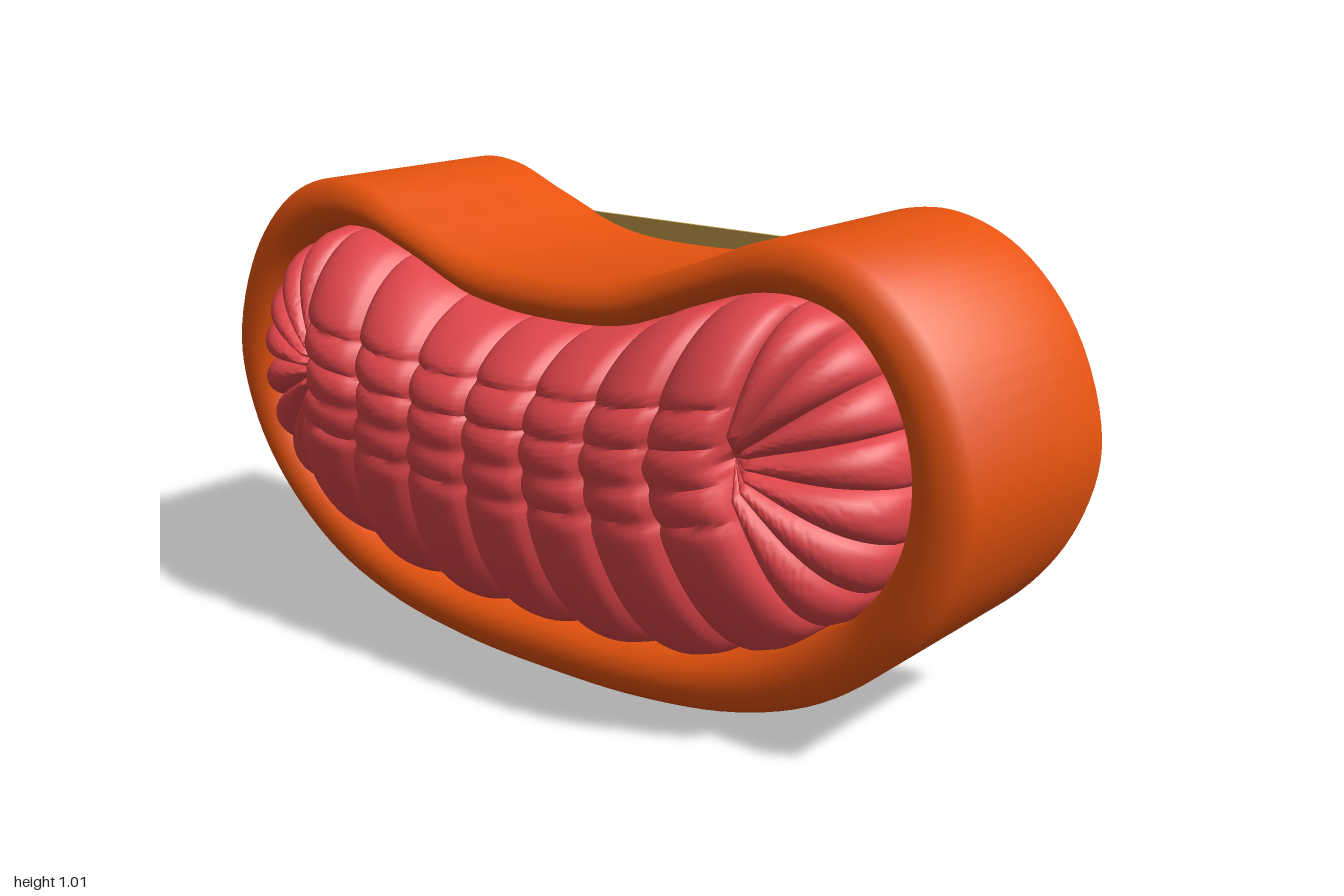
import * as THREE from 'three';
import { toCreasedNormals, mergeVertices } from 'three/addons/utils/BufferGeometryUtils.js';

const mat = (name, color, extra = {}) => new THREE.MeshStandardMaterial({ name, color, ...extra });

// Right half of each outline, clockwise from the top centre
const OUTER = [[0, 0.87], [0.2, 0.885], [0.4, 0.955], [0.54, 1.008], [0.66, 1.013], [0.8, 0.955], [0.93, 0.81],
  [1, 0.59], [0.965, 0.42], [0.87, 0.27], [0.7, 0.13], [0.5, 0.05], [0.25, 0.01], [0, 0.002]];
const INNER = [[0, 0.78], [0.2, 0.797], [0.38, 0.865], [0.53, 0.908], [0.64, 0.905], [0.74, 0.86], [0.83, 0.74],
  [0.865, 0.585], [0.84, 0.44], [0.76, 0.32], [0.6, 0.21], [0.42, 0.145], [0.2, 0.117], [0, 0.115]];

// Mirror a half outline and sample it as a smooth closed loop
function outline(half, n) {
  const left = half.slice(1, -1).reverse().map(([x, y]) => [-x, y]);
  const pts = [...half, ...left].map(([x, y]) => new THREE.Vector3(x, y, 0));
  const curve = new THREE.CatmullRomCurve3(pts, true);
  return Array.from({ length: n }, (_, i) => curve.getPoint(i / n));
}

// Surface closed along i, open along j
function loft(ni, nj, point, crease) {
  const pos = [], index = [];
  for (let i = 0; i < ni; i++) {
    for (let j = 0; j < nj; j++) {
      pos.push(...point(i, j));
      if (j === nj - 1) continue;
      const a = i * nj + j, c = ((i + 1) % ni) * nj + j;
      index.push(a, a + 1, c, c, a + 1, c + 1);
    }
  }
  const g = new THREE.BufferGeometry();
  g.setAttribute('position', new THREE.Float32BufferAttribute(pos, 3));
  g.setIndex(index);
  return toCreasedNormals(mergeVertices(g), crease);
}

// Kidney-shaped rim: [blend from outer to inner outline, z]
function rimGeometry() {
  const n = 156, outer = outline(OUTER, n), inner = outline(INNER, n);
  const profile = [[0, -0.355], [0, 0.148], [0.2, 0.166], [0.42, 0.18], [0.62, 0.18], [0.85, 0.166], [1, 0.135],
    [1, -0.29], [0.8, -0.33], [0.5, -0.35], [0, -0.355]];
  return loft(n, profile.length, (i, j) => {
    const [t, z] = profile[j], p = outer[i].clone().lerp(inner[i], t);
    return [p.x, p.y, z];
  }, 1.2);
}

// Distance from a point to the loop along a direction
function reach(loop, x, y, dx, dy) {
  let best = 0;
  loop.forEach((a, i) => {
    const b = loop[(i + 1) % loop.length], ex = b.x - a.x, ey = b.y - a.y;
    const den = dx * ey - dy * ex;
    if (Math.abs(den) < 1e-9) return;
    const t = ((a.x - x) * ey - (a.y - y) * ex) / den;
    const s = ((a.x - x) * dy - (a.y - y) * dx) / den;
    if (t > 0 && s >= 0 && s <= 1 && (best === 0 || t < best)) best = t;
  });
  return best;
}

// Tufted cushion: pleats run from a curved spine to the rim, with fans at both ends
function cushionGeometry() {
  const loop = outline(INNER, 208), end = 0.55, pleats = 7, sub = 12, rows = 40;
  const sections = [
    { fan: false, x: [-end, end], angle: [100, 80] },
    { fan: true, x: [end, end], angle: [80, -70] },
    { fan: false, x: [end, -end], angle: [-70, -110] },
    { fan: true, x: [-end, -end], angle: [-110, -260] },
  ];
  const rays = [];
  for (const s of sections) {
    for (let k = 0; k <= pleats * sub; k++) {
      const t = k / (pleats * sub);
      const x = THREE.MathUtils.lerp(...s.x, t), y = 0.555 + 0.06 * (x / end) ** 2;
      const a = THREE.MathUtils.degToRad(THREE.MathUtils.lerp(...s.angle, t));
      const dx = Math.cos(a), dy = Math.sin(a);
      const puff = Math.sqrt(Math.abs(Math.sin(Math.PI * (k % sub) / sub)));
      const len = reach(loop, x, y, dx, dy) * (0.945 + 0.05 * puff);
      rays.push({ fan: s.fan, x, y, dx, dy, puff, len });
    }
  }
  return loft(rays.length, rows + 2, (i, j) => {
    const r = rays[i], v = j === 0 ? 1 : 1 - (j - 1) / rows, d = v * r.len;
    let z;
    if (j === 0) z = -0.1;
    else if (r.fan) {
      z = 0.1 + 0.2 * Math.sqrt(1 - v ** 3) - 0.045 * (1 - r.puff) * Math.min(1, v * 4)
        - 0.06 * Math.max(0, 1 - v * 5);
    } else {
      z = 0.13 + 0.23 * (1 - v * v) ** 0.6 - 0.04 * (1 - r.puff);
      const quilt = Math.sqrt(Math.abs(Math.cos(Math.PI * d / 0.075)));
      if (d < 0.15) z -= 0.018 * (1 - quilt);
    }
    return [r.x + r.dx * d, r.y + r.dy * d, z];
  }, 0.9);
}

// Backing board: rim opening with a straight top strip and a clipped lower corner
function backGeometry() {
  const pts = outline(INNER, 208)
    .filter((p) => !(Math.abs(p.x) < 0.32 && p.y > 0.6))
    .filter((p) => !(p.x > -0.68 && p.x < -0.17 && p.y < 0.4));
  const shape = new THREE.Shape();
  shape.moveTo(-0.3, 0.915);
  shape.lineTo(0.3, 0.915);
  pts.forEach((p) => shape.lineTo(p.x, p.y));
  shape.closePath();
  return new THREE.ExtrudeGeometry(shape, { depth: 0.008, bevelEnabled: false, curveSegments: 1 });
}

export function createModel() {
  const group = new THREE.Group();
  group.name = 'tuftedBed';
  const add = (name, geometry, material) => {
    const mesh = new THREE.Mesh(geometry, material);
    mesh.name = name;
    group.add(mesh);
    return mesh;
  };
  add('rim', rimGeometry(), mat('orange rim', 0xe8530e));
  add('cushion', cushionGeometry(), mat('red cushion', 0xe2464b, { side: THREE.DoubleSide }));
  add('backBoard', backGeometry(), mat('tan board', 0xc9a24f)).position.z = -0.357;
  return group;
}
